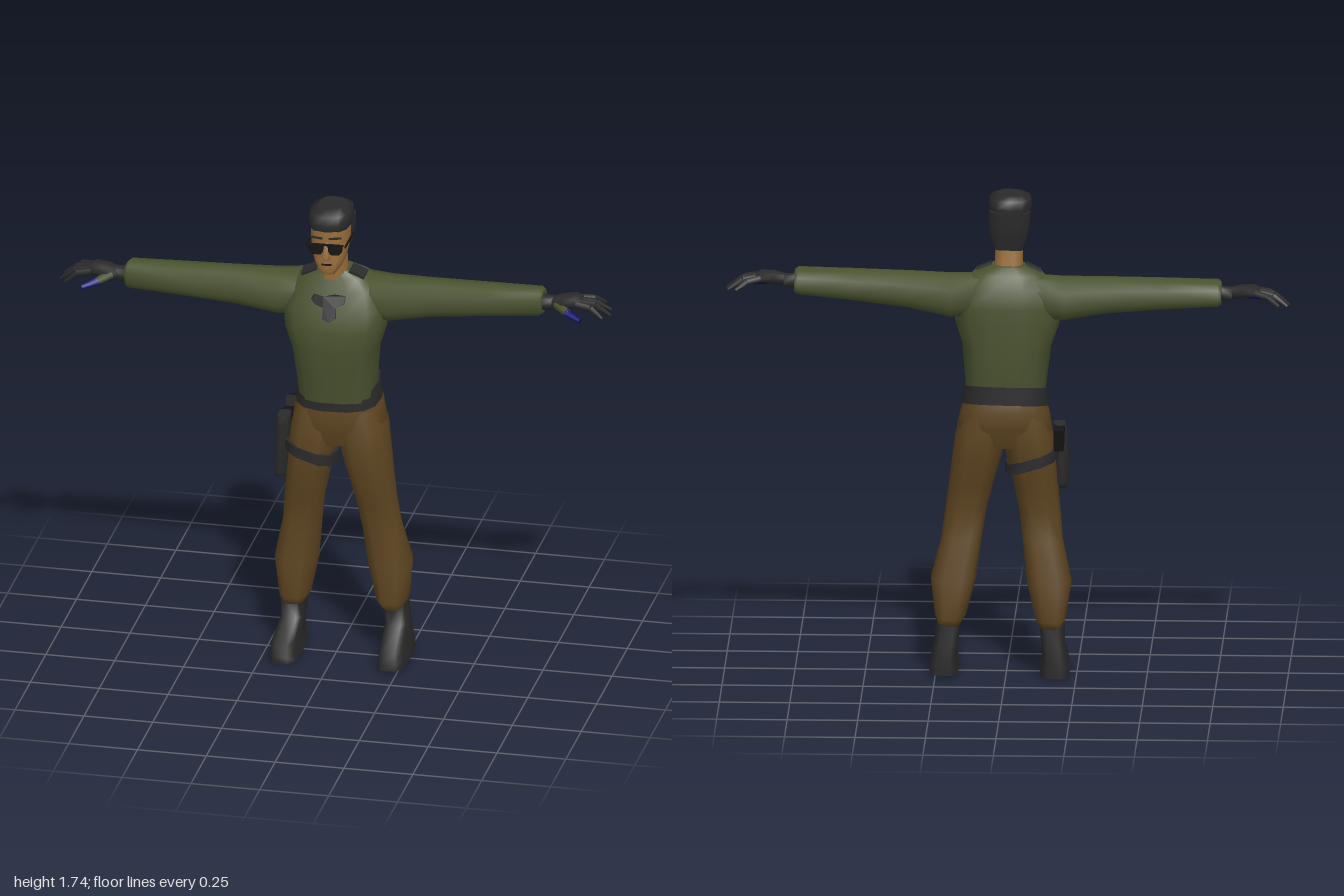
import * as THREE from 'three';

const paint = (name, color) => {
  const m = new THREE.MeshStandardMaterial({ color });
  m.name = name;
  return m;
};

// Squared-off oval section through a box a0..a1 by b0..b1
function section([t, a0, a1, b0, b1], n, power) {
  const pts = [];
  const soft = (v) => Math.sign(v) * Math.pow(Math.abs(v) < 1e-6 ? 0 : Math.abs(v), power);
  for (let i = 0; i < n; i++) {
    const q = (i / n) * Math.PI * 2;
    pts.push([t, (a0 + a1) / 2 + (a1 - a0) / 2 * soft(Math.cos(q)), (b0 + b1) / 2 + (b1 - b0) / 2 * soft(Math.sin(q))]);
  }
  return pts;
}

// Skin over sections: axis 'y' reads [y, x0, x1, z0, z1], axis 'x' reads [x, y0, y1, z0, z1]
function loft(rings, { axis = 'y', side = 1, n = 10, power = 0.75, tiltX = 0, tiltZ = 0 } = {}) {
  const pos = [], idx = [];
  const put = ([t, a, b]) => {
    const x = axis === 'y' ? a : t, y = axis === 'y' ? t : a;
    pos.push(side * x, y + tiltX * x + tiltZ * b, b);
  };
  rings.forEach((r) => section(r, n, power).forEach(put));
  for (let j = 0; j < rings.length - 1; j++) {
    for (let i = 0; i < n; i++) {
      const a = j * n + i, b = j * n + (i + 1) % n;
      idx.push(a, a + n, b, b, a + n, b + n);
    }
  }
  // End caps with their own corners keep a crisp rim
  [rings[0], rings[rings.length - 1]].forEach((r, k) => {
    const s = pos.length / 3;
    section(r, n, power).forEach(put);
    put([r[0], (r[1] + r[2]) / 2, (r[3] + r[4]) / 2]);
    for (let i = 0; i < n; i++) {
      const a = s + i, b = s + (i + 1) % n;
      idx.push(s + n, k ? b : a, k ? a : b);
    }
  });
  // Signed volume tells whether the faces point outward
  let vol = 0;
  const p = (i) => new THREE.Vector3().fromArray(pos, i * 3);
  for (let i = 0; i < idx.length; i += 3) vol += p(idx[i]).dot(p(idx[i + 1]).cross(p(idx[i + 2])));
  if (vol < 0) idx.reverse();
  const g = new THREE.BufferGeometry();
  g.setAttribute('position', new THREE.Float32BufferAttribute(pos, 3));
  g.setIndex(idx);
  g.computeVertexNormals();
  return g;
}

// Tapered rod between two points
function rod(a, b, r0, r1, sides = 6) {
  const A = new THREE.Vector3(...a), d = new THREE.Vector3(...b).sub(A);
  const g = new THREE.CylinderGeometry(r1, r0, d.length(), sides);
  g.applyQuaternion(new THREE.Quaternion().setFromUnitVectors(new THREE.Vector3(0, 1, 0), d.clone().normalize()));
  return g.translate(A.x + d.x / 2, A.y + d.y / 2, A.z + d.z / 2);
}

const box = (w, h, d, x, y, z, rx = 0, rz = 0) =>
  new THREE.BoxGeometry(w, h, d).rotateX(rx).rotateZ(rz).translate(x, y, z);

export function createModel() {
  const green = paint('sweater green', 0x49522f);
  const brown = paint('trouser brown', 0x5e4521);
  const skin = paint('skin', 0x9a6f3c);
  const dark = paint('dark gear', 0x2a2a2b);
  const black = paint('black', 0x151515);
  const blue = paint('blue', 0x0c0c78);

  const model = new THREE.Group();
  const body = new THREE.Group();
  body.name = 'body';
  body.position.x = 0.025;
  body.rotation.z = 0.022;
  model.add(body);
  const add = (name, geometry, material) => {
    const m = new THREE.Mesh(geometry, material);
    m.name = name;
    body.add(m);
    return m;
  };

  // Torso, belt and hips
  add('sweater', loft([
    [1.0, -0.138, 0.138, -0.125, 0.09], [1.1, -0.147, 0.147, -0.138, 0.104],
    [1.2, -0.158, 0.158, -0.14, 0.118], [1.28, -0.185, 0.185, -0.14, 0.118],
    [1.35, -0.19, 0.19, -0.138, 0.1], [1.42, -0.17, 0.17, -0.132, 0.072],
    [1.465, -0.125, 0.125, -0.1, 0.055], [1.492, -0.06, 0.06, -0.07, 0.045],
  ], { n: 14 }), green);
  add('belt', loft([
    [0.98, -0.155, 0.155, -0.15, 0.084], [1.045, -0.148, 0.148, -0.148, 0.084],
  ], { n: 14, tiltZ: -0.18 }), dark);
  add('hips', loft([
    [0.83, -0.15, 0.15, -0.12, 0.06], [0.9, -0.17, 0.17, -0.148, 0.082],
    [0.96, -0.158, 0.158, -0.152, 0.082], [1.01, -0.145, 0.145, -0.14, 0.076],
  ], { n: 14, tiltZ: -0.1 }), brown);

  // Chest patch, bent to the chest
  const blot = new THREE.Shape([[-0.065, 0.03], [-0.055, 0.048], [-0.02, 0.04], [0.02, 0.05], [0.06, 0.046],
    [0.055, 0.015], [0.025, 0], [0.03, -0.035], [0.005, -0.052], [-0.02, -0.04], [-0.018, 0], [-0.05, 0.012]]
    .map((p) => new THREE.Vector2(...p)));
  const patch = new THREE.ExtrudeGeometry(blot, { depth: 0.009, bevelEnabled: false });
  const pp = patch.attributes.position;
  for (let i = 0; i < pp.count; i++) pp.setZ(i, pp.getZ(i) - 1.8 * pp.getX(i) ** 2);
  patch.rotateX(-0.33).translate(-0.004, 1.37, 0.092);
  patch.computeVertexNormals();
  add('chestPatch', patch, dark);

  // Neck, face and nose
  add('neck', loft([
    [1.44, -0.055, 0.055, -0.07, 0.055], [1.5, -0.05, 0.05, -0.055, 0.058],
    [1.6, -0.048, 0.048, -0.045, 0.07],
  ]), skin);
  add('head', loft([
    [1.508, -0.024, 0.024, 0.065, 0.112], [1.53, -0.042, 0.042, 0.02, 0.121],
    [1.56, -0.057, 0.057, -0.015, 0.121], [1.61, -0.067, 0.067, -0.045, 0.119],
    [1.66, -0.069, 0.069, -0.055, 0.126], [1.7, -0.068, 0.068, -0.055, 0.122],
  ], { n: 12 }), skin);
  add('nose', loft([
    [1.572, -0.014, 0.014, 0.1, 0.136], [1.58, -0.014, 0.014, 0.1, 0.146],
    [1.635, -0.007, 0.007, 0.1, 0.127],
  ], { n: 6 }), skin);
  add('mouth', box(0.036, 0.005, 0.006, 0, 1.55, 0.121), black);

  // Hair: flat-topped cap and the back of the head
  add('hairTop', loft([
    [1.675, -0.073, 0.073, -0.072, 0.124], [1.7, -0.077, 0.077, -0.077, 0.13],
    [1.73, -0.074, 0.074, -0.072, 0.118], [1.745, -0.045, 0.045, -0.045, 0.075],
  ], { n: 12 }), dark);
  add('hairBack', loft([
    [1.55, -0.05, 0.05, -0.055, -0.02], [1.6, -0.068, 0.068, -0.066, -0.006],
    [1.64, -0.074, 0.074, -0.072, 0.004], [1.69, -0.075, 0.075, -0.076, 0.008],
  ], { power: 0.6 }), dark);

  // Sunglasses
  add('glassesBridge', box(0.13, 0.006, 0.008, 0, 1.632, 0.133), black);
  for (const s of [-1, 1]) {
    add('lens', loft([
      [1.595, 0.016, 0.048, 0.127, 0.136], [1.608, 0.009, 0.06, 0.126, 0.136], [1.634, 0.007, 0.063, 0.126, 0.136],
    ], { side: s, n: 8, power: 0.6 }), black);
    add('glassesTemple', box(0.005, 0.007, 0.135, s * 0.072, 1.628, 0.066), black);
    add('eyebrow', box(0.045, 0.006, 0.006, s * 0.034, 1.655, 0.125, 0, s * 0.12), dark);
  }

  for (const s of [-1, 1]) {
    // Shoulder patch and sleeve
    add('shoulderPatch', box(0.06, 0.009, 0.06, s * 0.088, 1.481, 0.0, 0.12, -s * 0.42), dark);
    add('sleeve', loft([
      [0.1, 1.31, 1.462, -0.122, 0.045], [0.2, 1.298, 1.456, -0.112, 0.058],
      [0.35, 1.325, 1.458, -0.09, 0.05], [0.55, 1.345, 1.458, -0.08, 0.05],
      [0.745, 1.36, 1.458, -0.07, 0.045], [0.757, 1.368, 1.448, -0.062, 0.038],
    ], { axis: 'x', side: s }), green);

    // Gloved hand
    add('cuff', loft([
      [0.75, 1.38, 1.435, -0.045, 0.025], [0.795, 1.382, 1.432, -0.04, 0.022],
    ], { axis: 'x', side: s, n: 8 }), dark);
    add('palm', loft([
      [0.785, 1.388, 1.43, -0.036, 0.02], [0.83, 1.395, 1.44, -0.052, 0.034],
      [0.875, 1.4, 1.442, -0.058, 0.034], [0.895, 1.402, 1.43, -0.054, 0.028],
    ], { axis: 'x', side: s, n: 8 }), dark);
    const tips = [[0.965, 1.385, -0.095], [0.992, 1.376, -0.052], [0.998, 1.372, -0.008], [0.975, 1.374, 0.03]];
    tips.forEach(([x, y, z], i) => {
      const root = [s * 0.88, 1.418, -0.046 + i * 0.022], mid = [s * (x + 0.89) / 2, 1.41, (z + root[2]) / 2];
      add('finger', rod(root, mid, 0.013, 0.012), dark);
      add('fingerTip', rod(mid, [s * x, y, z], 0.012, 0.006), dark);
    });
    add('thumbBase', rod([s * 0.81, 1.41, 0.012], [s * 0.858, 1.392, 0.05], 0.018, 0.014), green);
    add('thumb', rod([s * 0.85, 1.394, 0.045], [s * 0.905, 1.377, 0.072], 0.016, 0.009), blue);

    // Trouser leg
    add('trouserLeg', loft([
      [0.185, 0.14, 0.222, -0.115, 0.025], [0.215, 0.122, 0.232, -0.145, 0.045],
      [0.35, 0.09, 0.25, -0.13, 0.038], [0.5, 0.072, 0.215, -0.1, 0.034],
      [0.6, 0.058, 0.204, -0.092, 0.052], [0.7, 0.035, 0.193, -0.112, 0.075],
      [0.8, 0.008, 0.183, -0.135, 0.084], [0.88, 0.0, 0.174, -0.145, 0.083], [0.96, 0.0, 0.15, -0.14, 0.07],
    ], { side: s }), brown);

    // Boot
    add('boot', loft([
      [0.008, 0.142, 0.25, -0.13, 0.158], [0.03, 0.145, 0.248, -0.13, 0.157],
      [0.072, 0.15, 0.242, -0.126, 0.14], [0.122, 0.147, 0.232, -0.115, 0.005],
      [0.21, 0.137, 0.228, -0.108, 0.02],
    ], { side: s, power: 0.6 }), dark);
  }

  // Thigh strap and holster on the right leg
  add('thighStrap', loft([
    [0.765, -0.194, -0.004, -0.139, 0.09], [0.805, -0.194, -0.004, -0.139, 0.09],
  ], { tiltX: -0.33, tiltZ: 0.0 }).translate(0, -0.03, 0), dark);
  add('holster', loft([
    [0.68, -0.225, -0.185, -0.015, 0.035], [0.7, -0.232, -0.182, -0.03, 0.045],
    [0.88, -0.225, -0.17, -0.035, 0.05], [0.915, -0.215, -0.17, -0.03, 0.04],
  ], { n: 8, power: 0.5 }), dark);
  add('pistolGrip', box(0.034, 0.05, 0.1, -0.196, 0.875, -0.075, -0.25), black);
  add('pistolButt', box(0.036, 0.075, 0.035, -0.196, 0.89, -0.13, -0.25), black);

  return model;
}
